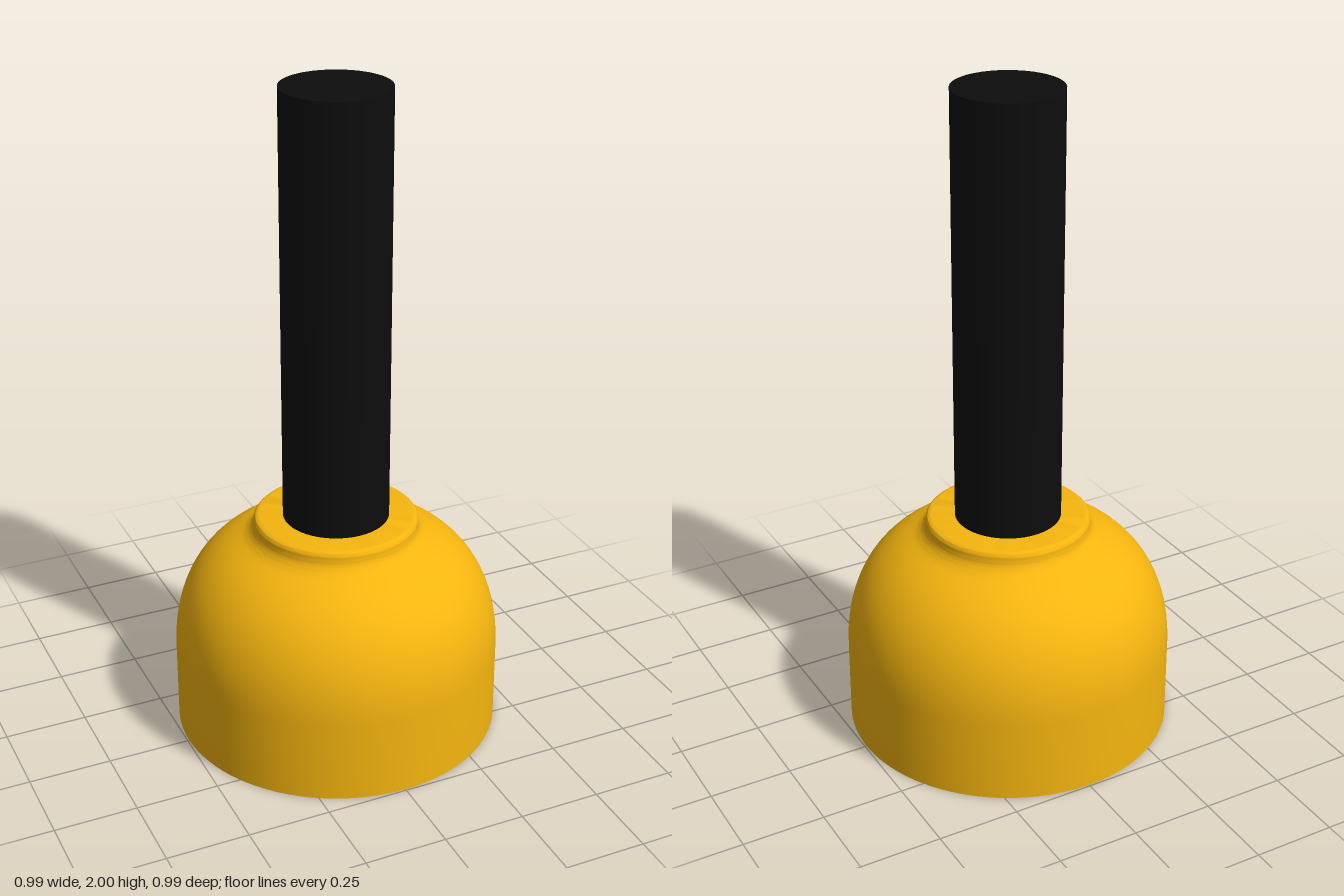
import * as THREE from 'three';
import { toCreasedNormals } from 'three/addons/utils/BufferGeometryUtils.js';

const SIDES = 96;

export function createModel() {
  const group = new THREE.Group();
  const yellow = new THREE.MeshStandardMaterial({ color: 0xf5b50f });
  const black = new THREE.MeshStandardMaterial({ color: 0x0d0d0d });

  // Bell-shaped base: recessed underside, domed shoulder, short collar
  const profile = new THREE.Path();
  profile.moveTo(0, 0.04);
  profile.lineTo(0.417, 0.04);
  profile.lineTo(0.417, 0);
  profile.lineTo(0.495, 0);
  profile.lineTo(0.495, 0.25);
  profile.bezierCurveTo(0.495, 0.44, 0.41, 0.56, 0.29, 0.612);
  profile.quadraticCurveTo(0.249, 0.632, 0.249, 0.664);
  profile.quadraticCurveTo(0.249, 0.685, 0.228, 0.685);
  profile.lineTo(0, 0.685);
  const bell = new THREE.LatheGeometry(profile.getPoints(14), SIDES);
  const base = new THREE.Mesh(toCreasedNormals(bell, Math.PI / 6), yellow);
  base.name = 'base';
  group.add(base);

  // Upright rod, set into the collar
  const bottom = 0.6, top = 2;
  const rod = new THREE.Mesh(new THREE.CylinderGeometry(0.16, 0.16, top - bottom, SIDES), black);
  rod.position.y = (top + bottom) / 2;
  rod.name = 'rod';
  group.add(rod);

  return group;
}
